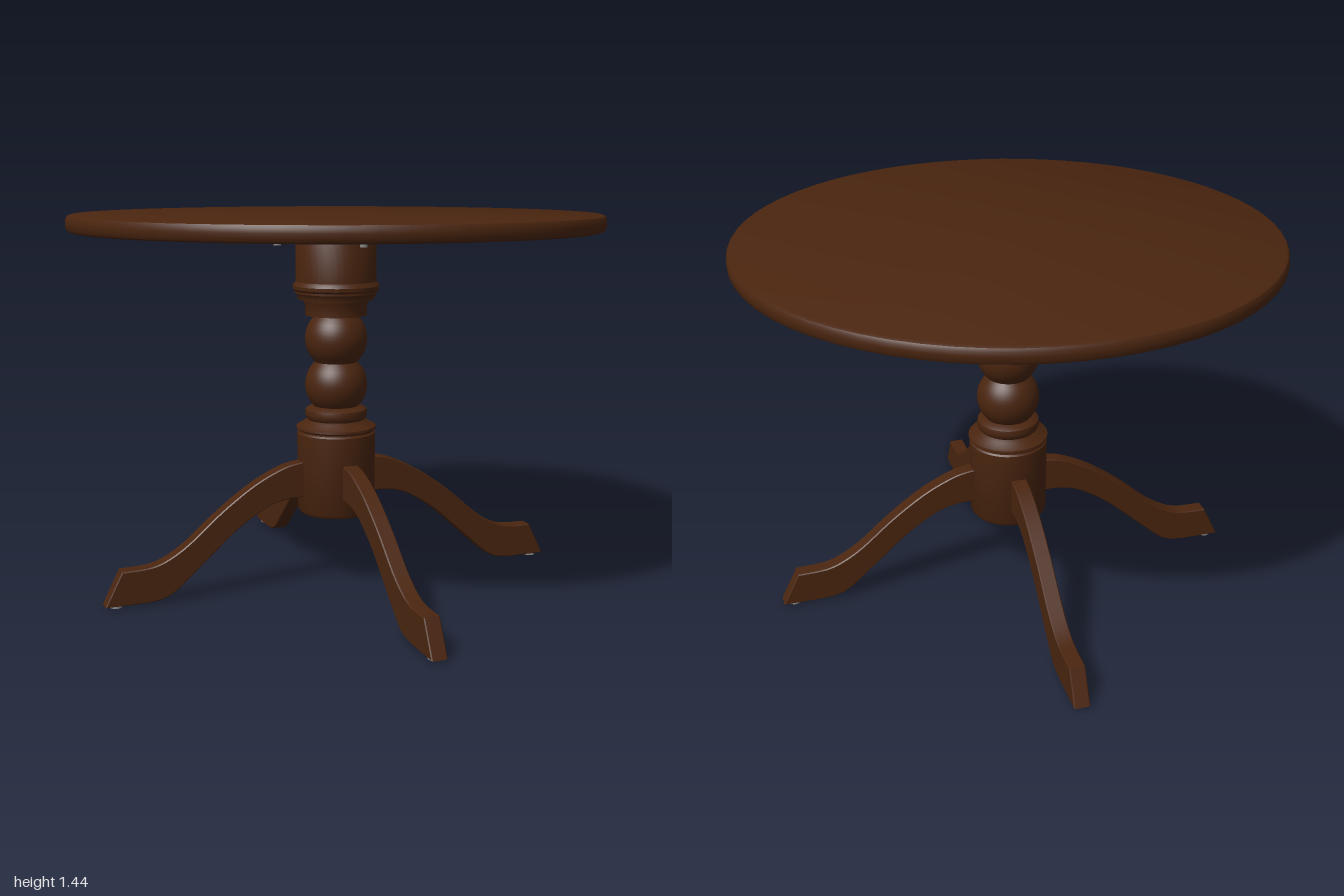
import * as THREE from 'three';
import { toCreasedNormals } from 'three/addons/utils/BufferGeometryUtils.js';

const wood = new THREE.MeshStandardMaterial({ name: 'dark wood', color: 0x4a250f });
const metal = new THREE.MeshStandardMaterial({ name: 'grey metal', color: 0x8a8a8a });

function mesh(name, geometry, material, parent) {
  const m = new THREE.Mesh(geometry, material);
  m.name = name;
  parent.add(m);
  return m;
}

// Turned part from [radius, height] pairs, bottom to top
function turned(profile, segments) {
  const points = profile.map(([r, y]) => new THREE.Vector2(r, y));
  return toCreasedNormals(new THREE.LatheGeometry(points, segments), 0.6);
}

// Points of a ball's outline between two heights
function ball(radius, centre, low, high, steps = 12) {
  return Array.from({ length: steps + 1 }, (_, i) => {
    const y = low + ((high - low) * i) / steps;
    return [Math.sqrt(radius ** 2 - (y - centre) ** 2), y];
  });
}

// S-curved leg outline, extruded sideways, pointing along +x
function legGeometry() {
  const v = (pairs) => pairs.map(([x, y]) => new THREE.Vector2(x, y));
  const shape = new THREE.Shape();
  shape.moveTo(0.1, 0.355);
  shape.splineThru(v([[0.2, 0.355], [0.27, 0.34], [0.33, 0.31], [0.42, 0.25],
    [0.5, 0.18], [0.59, 0.1], [0.66, 0.04], [0.71, 0.017], [0.77, 0.01]]));
  shape.lineTo(0.925, 0.01);
  shape.lineTo(0.86, 0.14);
  shape.lineTo(0.8, 0.141);
  shape.splineThru(v([[0.74, 0.147], [0.68, 0.17], [0.6, 0.222], [0.48, 0.325],
    [0.35, 0.418], [0.24, 0.473], [0.17, 0.492], [0.1, 0.497]]));
  const geometry = new THREE.ExtrudeGeometry(shape, {
    depth: 0.052, curveSegments: 3, bevelEnabled: true,
    bevelThickness: 0.004, bevelSize: 0.004, bevelOffset: -0.004, bevelSegments: 1,
  });
  geometry.translate(0, 0, -0.026);
  return toCreasedNormals(geometry, 0.5);
}

export function createModel() {
  const table = new THREE.Group();
  table.name = 'pedestalTable';

  // Round top with softened edge
  mesh('tableTop', turned([
    [0, 1.378], [0.982, 1.378], [0.993, 1.383], [0.999, 1.393], [1, 1.41],
    [0.999, 1.425], [0.993, 1.435], [0.982, 1.44], [0, 1.44],
  ], 64), wood, table);

  // Mounting plate under the top
  mesh('mountingPlate', turned([[0, 1.345], [0.31, 1.345], [0.31, 1.374], [0, 1.374]], 48), wood, table);

  // Turned column with two balls and ring mouldings
  mesh('column', turned([
    [0, 0.285], [0.14, 0.285], [0.15, 0.3], [0.152, 0.6], [0.146, 0.606], [0.146, 0.612],
    [0.155, 0.618], [0.154, 0.626], [0.135, 0.635], [0.122, 0.645], [0.11, 0.652],
    [0.117, 0.66], [0.121, 0.675], [0.118, 0.692], [0.105, 0.7],
    ...ball(0.12, 0.787, 0.705, 0.875), ...ball(0.12, 0.965, 0.88, 1.054),
    [0.118, 1.055], [0.119, 1.095], [0.124, 1.105], [0.126, 1.115], [0.146, 1.117],
    [0.148, 1.13], [0.156, 1.14], [0.156, 1.148], [0.165, 1.155], [0.166, 1.168],
    [0.16, 1.178], [0.154, 1.184], [0.154, 1.33], [0.147, 1.347], [0, 1.347],
  ], 40), wood, table);

  // Four legs with glides, and four plate bolts, turned slightly off the diagonals
  const leg = legGeometry();
  const glide = new THREE.CylinderGeometry(0.022, 0.022, 0.014, 16);
  const washer = new THREE.CylinderGeometry(0.03, 0.03, 0.008, 16);
  const boltHead = new THREE.CylinderGeometry(0.014, 0.014, 0.016, 6);
  for (let i = 0; i < 4; i++) {
    const side = new THREE.Group();
    side.name = 'legAssembly';
    side.rotation.y = THREE.MathUtils.degToRad(-53 + i * 90);
    mesh('leg', leg, wood, side);
    mesh('footGlide', glide, metal, side).position.set(0.88, 0.007, 0);
    table.add(side);

    const bolt = new THREE.Group();
    bolt.name = 'plateBolt';
    const angle = THREE.MathUtils.degToRad(-40 + i * 90);
    bolt.position.set(0.24 * Math.cos(angle), 0, 0.24 * Math.sin(angle));
    mesh('boltWasher', washer, metal, bolt).position.y = 1.341;
    mesh('boltHead', boltHead, metal, bolt).position.y = 1.332;
    table.add(bolt);
  }
  return table;
}
